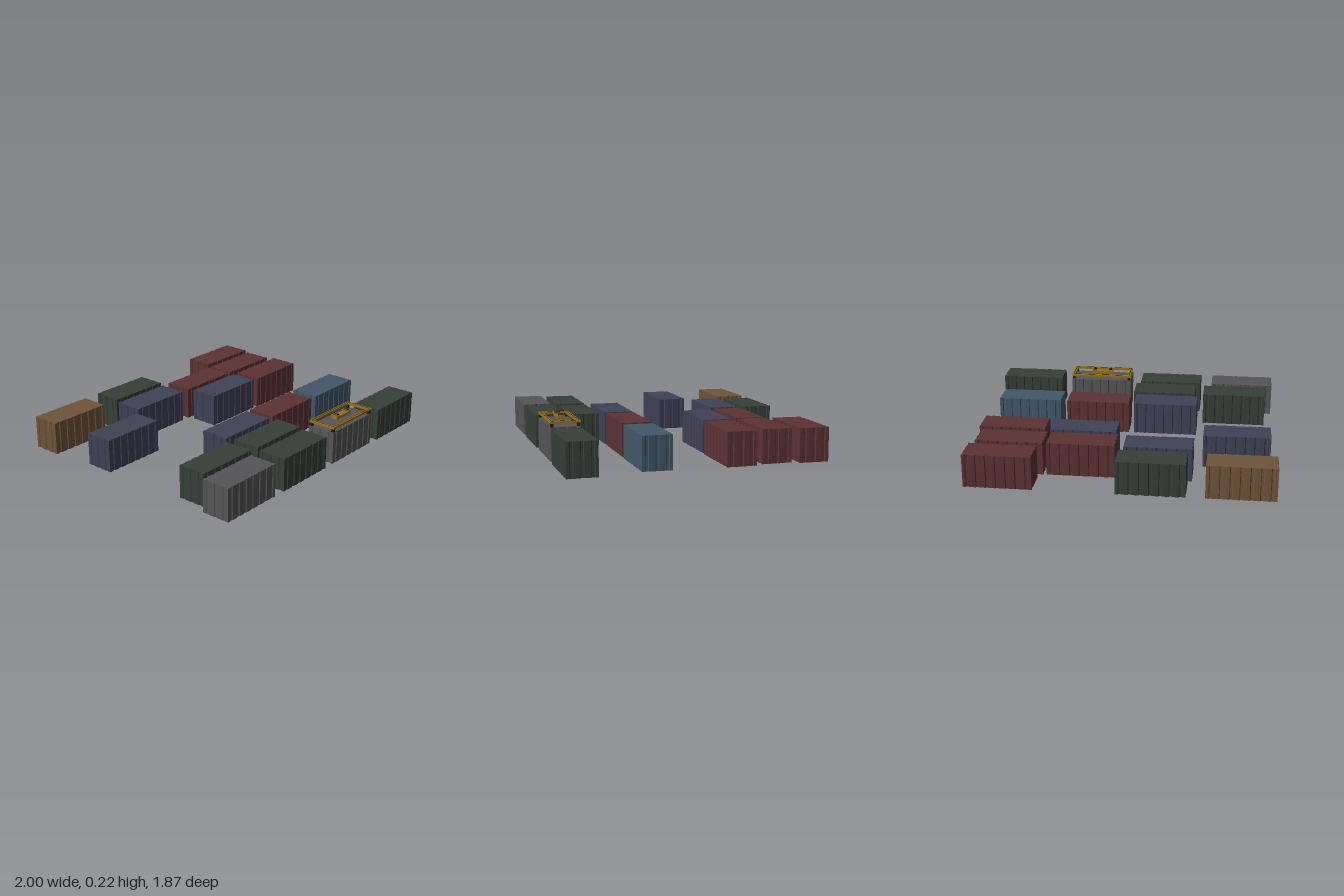
import * as THREE from 'three';

const L = 0.34, W = 0.15, H = 0.169, YAW = Math.PI / 6;
const mat = (color) => new THREE.MeshStandardMaterial({ color });
const colors = {
  red: mat(0x5c3234), navy: mat(0x3f4156), green: mat(0x363f38), brown: mat(0x6f533a),
  blue: mat(0x425769), grey: mat(0x555557), yellow: mat(0x9c6e16), black: mat(0x1c1c1c),
};

// Points along one wall, from a to b, with n shallow trapezoid grooves pressed inward
function corrugate(ax, ay, bx, by, n, depth = 0.004) {
  const dir = new THREE.Vector2(bx - ax, by - ay), len = dir.length();
  dir.normalize();
  const at = (t, d) => new THREE.Vector2(ax + dir.x * t - dir.y * d, ay + dir.y * t + dir.x * d);
  const pts = [at(0, 0)], pitch = len / n;
  for (let i = 0; i < n; i++) {
    const c = (i + 0.5) * pitch;
    pts.push(at(c - 0.009, 0), at(c - 0.005, depth), at(c + 0.005, depth), at(c + 0.009, 0));
  }
  return pts;
}

// Container body: corrugated footprint raised to full height
function containerGeometry() {
  const x = L / 2, z = W / 2;
  const outline = [
    ...corrugate(-x, -z, x, -z, 7), ...corrugate(x, -z, x, z, 3),
    ...corrugate(x, z, -x, z, 7), ...corrugate(-x, z, -x, -z, 3),
  ];
  const geo = new THREE.ExtrudeGeometry(new THREE.Shape(outline), { depth: H, bevelEnabled: false });
  return geo.rotateX(-Math.PI / 2);
}

function add(parent, geo, material, name, x, y, z) {
  const m = new THREE.Mesh(geo, material);
  m.name = name;
  m.position.set(x, y, z);
  parent.add(m);
  return m;
}

// Rectangular ring lying flat
function ring(l, w, bar, h) {
  const rect = (S, a, b) => new S([[-a, -b], [a, -b], [a, b], [-a, b]].map((p) => new THREE.Vector2(...p)));
  const shape = rect(THREE.Shape, l / 2, w / 2);
  shape.holes.push(rect(THREE.Path, l / 2 - bar, w / 2 - bar));
  return new THREE.ExtrudeGeometry(shape, { depth: h, bevelEnabled: false }).rotateX(-Math.PI / 2);
}

// Lifting frame that rests on a container roof
function spreader() {
  const g = new THREE.Group();
  g.name = 'liftingFrame';
  add(g, ring(0.338, 0.15, 0.016, 0.011), colors.yellow, 'frameBeams', 0, 0.187, 0);
  add(g, ring(0.324, 0.136, 0.003, 0.003), colors.black, 'frameGroove', 0, 0.1955, 0);
  // corner feet
  for (const sx of [-1, 1]) for (const sz of [-1, 1])
    add(g, new THREE.BoxGeometry(0.014, 0.02, 0.014), colors.black, 'cornerFoot', sx * 0.159, 0.178, sz * 0.065);
  // hoist block in the centre
  add(g, new THREE.BoxGeometry(0.12, 0.012, 0.034), colors.yellow, 'hoistBlock', 0, 0.196, 0);
  for (const sx of [-1, 1]) {
    add(g, new THREE.BoxGeometry(0.022, 0.008, 0.038), colors.yellow, 'hoistEnd', sx * 0.047, 0.205, 0);
    add(g, new THREE.CylinderGeometry(0.009, 0.009, 0.024, 12).rotateX(Math.PI / 2), colors.black,
      'hoistPulley', sx * 0.045, 0.208, 0);
  }
  return g;
}

export function createModel() {
  const model = new THREE.Group();
  model.name = 'containerYard';
  const geo = containerGeometry();

  // colour, x, z of every container
  const layout = [
    ['red', 0.2, -0.79], ['red', 0.273, -0.62], ['red', 0.385, -0.47], ['red', -0.037, -0.441],
    ['navy', 0.064, -0.291], ['navy', -0.369, -0.249], ['green', -0.444, -0.42], ['brown', -0.818, -0.203],
    ['navy', -0.61, 0.099], ['navy', -0.061, 0.262], ['red', 0.257, 0.078], ['blue', 0.583, -0.107],
    ['green', 0.813, 0.182], ['grey', 0.465, 0.377], ['green', 0.048, 0.414], ['green', -0.289, 0.604],
    ['green', 0.118, 0.58], ['grey', -0.233, 0.781],
  ];
  for (const [c, x, z] of layout) add(model, geo, colors[c], c + 'Container', x, 0, z).rotation.y = YAW;

  const frame = spreader();
  frame.position.set(0.465, 0, 0.377);
  frame.rotation.y = YAW;
  model.add(frame);
  return model;
}
